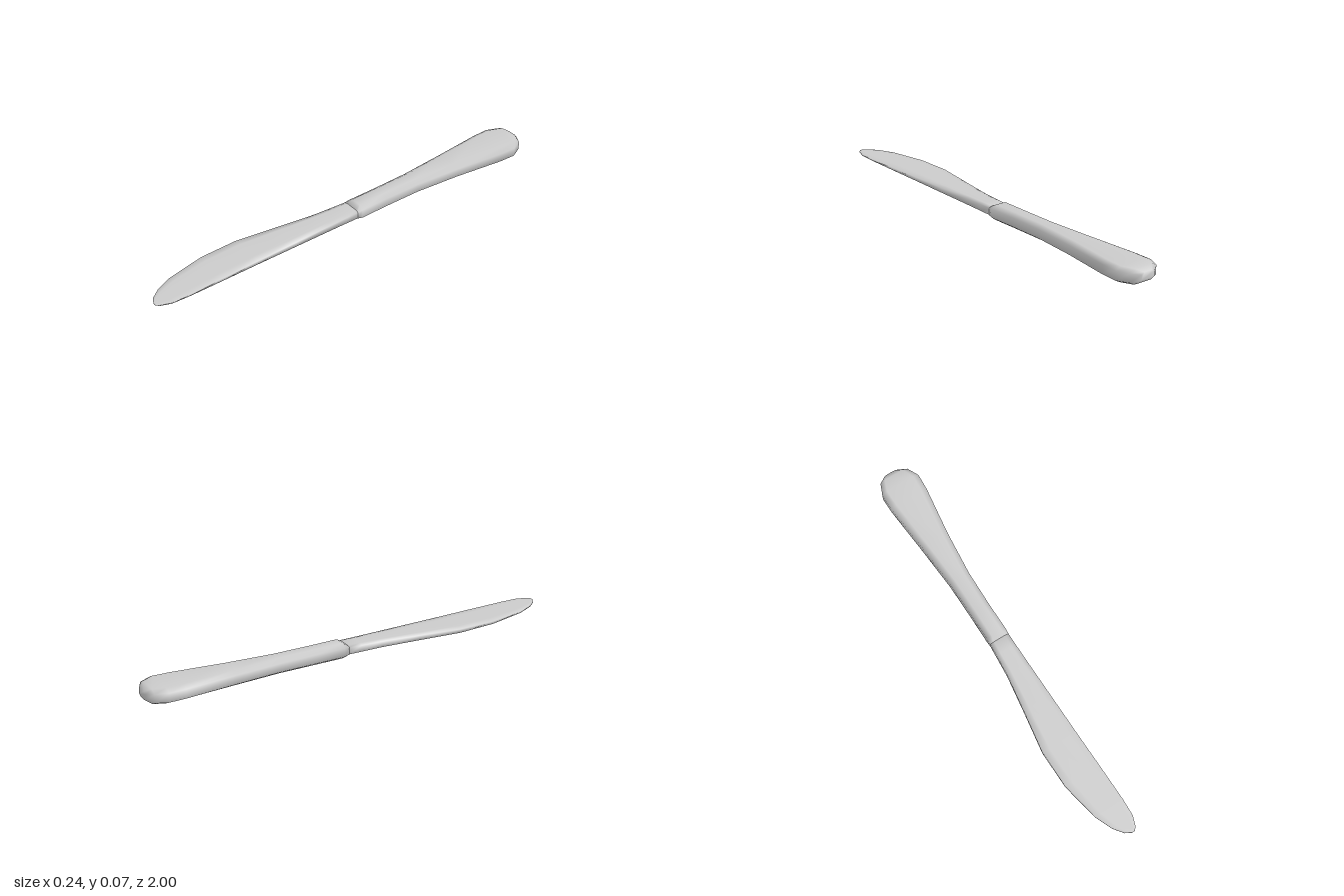
import * as THREE from 'three';

const material = new THREE.MeshStandardMaterial({ color: 0xcccccc, roughness: 0.6 });

// Smooth loft through counter-clockwise cross-sections ordered by rising z
function loft(name, rings) {
  const n = rings[0].length;
  const points = rings.flat();
  const index = [];
  for (let i = 0; i < rings.length - 1; i++) {
    for (let k = 0; k < n; k++) {
      const a = i * n + k, b = i * n + (k + 1) % n;
      index.push(a, b, a + n, b, b + n, a + n);
    }
  }
  // End caps
  const last = (rings.length - 1) * n;
  for (let k = 1; k < n - 1; k++) {
    index.push(0, k + 1, k);
    index.push(last, last + k, last + k + 1);
  }
  const geometry = new THREE.BufferGeometry().setFromPoints(points);
  geometry.setIndex(index);
  geometry.computeVertexNormals();
  const mesh = new THREE.Mesh(geometry, material);
  mesh.name = name;
  return mesh;
}

// Eight-sided section: flat top and bottom, bevelled corners, upright sides
function section(z, x0, x1, y0, y1, inset, bevel) {
  return [
    [x1, y0 + bevel], [x1, y1 - bevel], [x1 - inset, y1], [x0 + inset, y1],
    [x0, y1 - bevel], [x0, y0 + bevel], [x0 + inset, y0], [x1 - inset, y0],
  ].map(([x, y]) => new THREE.Vector3(x, y, z));
}

export function createModel() {
  const group = new THREE.Group();
  group.name = 'tableKnife';

  // Handle: z, left x, right x, bottom y, top y, inset, bevel
  const handle = [
    [-1.0, -0.015, 0.055, 0.02, 0.06, 0.015, 0.008],
    [-0.975, -0.05, 0.095, 0.006, 0.074, 0.025, 0.014],
    [-0.92, -0.073, 0.121, 0.005, 0.075, 0.027, 0.014],
    [-0.84, -0.073, 0.116, 0.005, 0.075, 0.027, 0.014],
    [-0.6, -0.056, 0.08, 0.004, 0.075, 0.025, 0.015],
    [-0.38, -0.043, 0.057, 0.003, 0.075, 0.024, 0.016],
    [-0.2, -0.043, 0.052, 0.002, 0.075, 0.023, 0.016],
    [-0.065, -0.045, 0.052, 0.002, 0.075, 0.023, 0.016],
    [-0.04, -0.045, 0.05, 0.018, 0.062, 0.015, 0.006],
  ];
  group.add(loft('handle', handle.map((r) => section(...r))));

  // Blade outline: z, cutting edge x, spine x
  const outline = [
    [-0.05, -0.044, 0.05], [0.02, -0.05, 0.049], [0.12, -0.059, 0.049],
    [0.3, -0.088, 0.05], [0.5, -0.122, 0.051], [0.68, -0.122, 0.053],
    [0.86, -0.089, 0.054], [0.94, -0.056, 0.05], [0.985, -0.022, 0.033],
    [1.0, 0.005, 0.02],
  ];
  // Thickness tapers evenly towards the tip
  const blade = outline.map(([z, x0, x1]) => {
    const y0 = 0.021 + 0.029 * z;
    const y1 = 0.061 - 0.006 * z;
    return section(z, x0, x1, y0, y1, (x1 - x0) * 0.2, (y1 - y0) * 0.12);
  });
  group.add(loft('blade', blade));

  return group;
}
